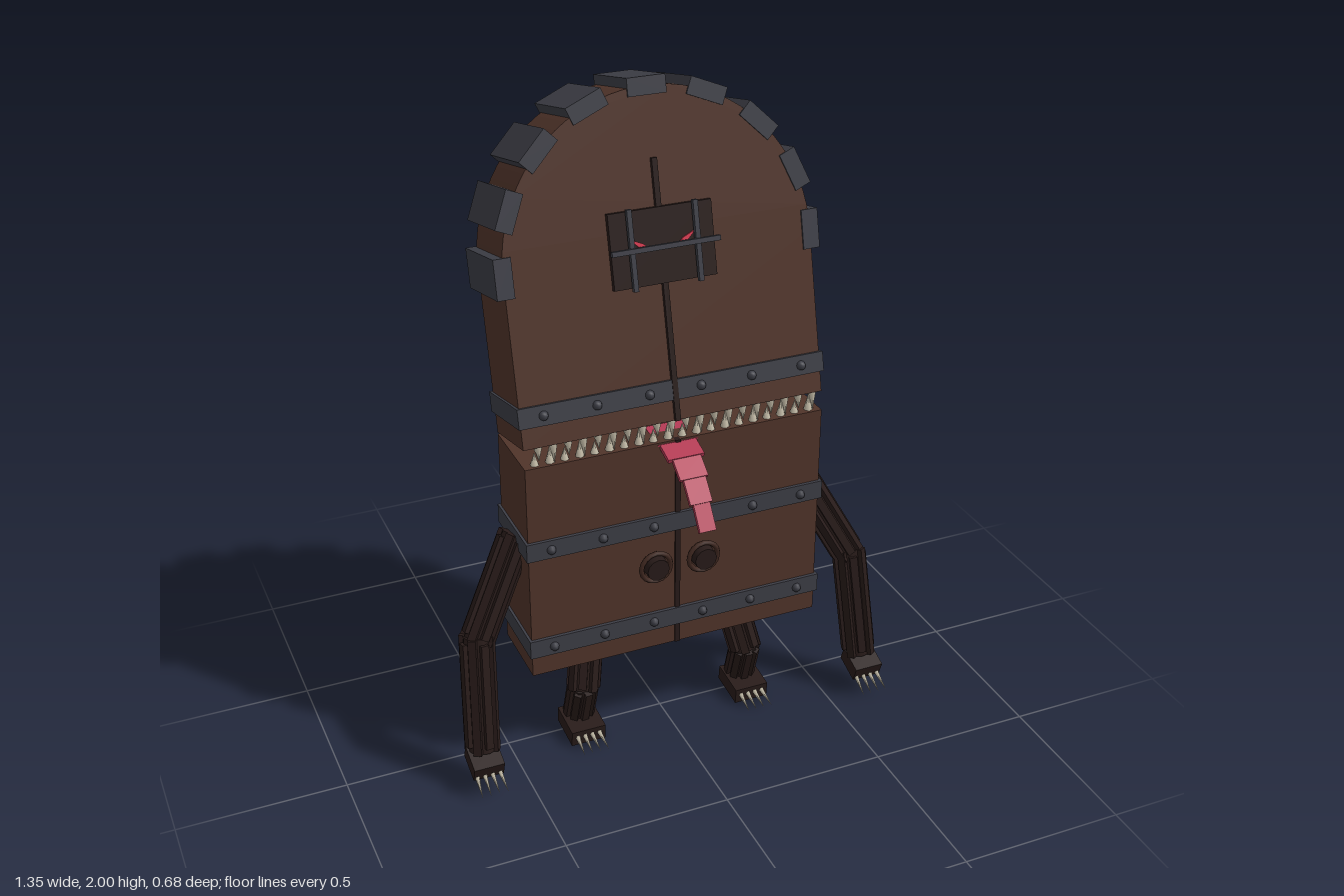
import * as THREE from 'three';

const mat = (name, color) => {
  const m = new THREE.MeshStandardMaterial({ color });
  m.name = name;
  return m;
};

export function createModel() {
  const wood = mat('brown wood', 0x50342a);
  const bark = mat('dark wood', 0x281b19);
  const iron = mat('iron', 0x3d3e46);
  const knobWood = mat('knob wood', 0x402820);
  const red = mat('tongue red', 0xb43a54);
  const eyeRed = mat('eye red', 0xd63a50);
  const bone = mat('bone', 0xc4bca8);
  const root = new THREE.Group();
  root.name = 'doorCreature';

  const add = (parent, name, geo, m, x = 0, y = 0, z = 0) => {
    const mesh = new THREE.Mesh(geo, m);
    mesh.name = name;
    mesh.position.set(x, y, z);
    parent.add(mesh);
    return mesh;
  };
  const box = (parent, name, m, w, h, d, x, y, z) =>
    add(parent, name, new THREE.BoxGeometry(w, h, d), m, x, y, z);
  const group = (parent, name) => {
    const g = new THREE.Group();
    g.name = name;
    parent.add(g);
    return g;
  };
  const V = (x, y, z) => new THREE.Vector3(x, y, z);
  // places an object between two points, its own y axis along the line
  const span = (obj, a, b) => {
    obj.position.copy(a).add(b).multiplyScalar(0.5);
    obj.quaternion.setFromUnitVectors(V(0, 1, 0), b.clone().sub(a).normalize());
  };

  // iron strap with rivets, wrapped round the door
  const strap = (parent, y, z) => {
    const g = group(parent, 'ironStrap');
    box(g, 'band', iron, 0.925, 0.058, 0.25, 0, y, z);
    for (let i = 0; i < 6; i++)
      add(g, 'rivet', new THREE.SphereGeometry(0.014, 8, 6), iron, -0.39 + i * 0.156, y, z + 0.127);
  };

  // row of conical teeth
  const teeth = (parent, name, y, z, dir, count, shift) => {
    const g = group(parent, name);
    for (let i = 0; i < count; i++) {
      const h = 0.045 + 0.012 * (i % 2);
      const x = -0.42 + shift + (i * 0.84) / (count - 1);
      const t = add(g, 'tooth', new THREE.ConeGeometry(0.014, h, 6), bone, x, y + dir * h * 0.5, z);
      if (dir < 0) t.rotation.x = Math.PI;
    }
  };

  // lower door
  const lower = group(root, 'lowerDoor');
  box(lower, 'lowerPanel', wood, 0.91, 0.685, 0.23, 0, 0.6725, 0.015);
  box(lower, 'lowerSeam', bark, 0.016, 0.685, 0.02, 0, 0.6725, 0.125);
  strap(lower, 0.425, 0.015);
  strap(lower, 0.752, 0.015);
  teeth(lower, 'lowerTeeth', 1.01, 0.11, 1, 20, 0);

  // door knobs with rings
  for (const s of [-1, 1]) {
    const g = group(lower, 'knob');
    g.position.set(s * 0.075, 0.62, 0.15);
    add(g, 'knobRing', new THREE.TorusGeometry(0.046, 0.008, 6, 16), knobWood);
    const disc = add(g, 'knobDisc', new THREE.CylinderGeometry(0.034, 0.036, 0.04, 12), bark);
    disc.rotation.x = Math.PI / 2;
  }

  // upper door, hinged at the back and leaning away
  const upper = group(root, 'upperDoor');
  upper.position.set(0, 1.02, -0.1);
  upper.rotation.x = -0.235;
  const R = 0.455, CY = 0.475;
  const arch = new THREE.Shape();
  arch.moveTo(-R, 0);
  arch.lineTo(R, 0);
  arch.lineTo(R, CY);
  arch.absarc(0, CY, R, 0, Math.PI, false);
  arch.lineTo(-R, 0);
  add(upper, 'archPanel', new THREE.ExtrudeGeometry(arch, { depth: 0.23, bevelEnabled: false, curveSegments: 20 }), wood);
  box(upper, 'upperSeam', bark, 0.016, 0.737, 0.02, 0, 0.3685, 0.232);
  strap(upper, 0.09, 0.115);
  teeth(upper, 'upperTeeth', 0, 0.21, -1, 20, 0.012);
  for (let i = 0; i < 9; i++) {
    const a = (i * Math.PI) / 8;
    const stone = box(upper, 'archStone', iron, 0.05, 0.112, 0.25,
      Math.cos(a) * 0.454, CY + Math.sin(a) * 0.454, 0.11);
    stone.rotation.z = a;
  }

  // barred window with glaring eyes
  const win = group(upper, 'window');
  win.position.set(0, 0.5, 0.24);
  box(win, 'windowPlate', bark, 0.305, 0.21, 0.016, 0, 0, 0);
  for (const s of [-1, 1]) {
    const eye = new THREE.Shape([[0.035, -0.012], [0.06, -0.012], [0.1, 0.026], [0.06, 0.008]]
      .map(([x, y]) => new THREE.Vector2(s * x, y)));
    add(win, 'eye', new THREE.ExtrudeGeometry(eye, { depth: 0.005, bevelEnabled: false }), eyeRed, 0, 0.005, 0.008);
    box(win, 'verticalBar', iron, 0.014, 0.225, 0.014, s * 0.097, 0, 0.022);
  }
  box(win, 'crossBar', iron, 0.32, 0.014, 0.014, 0, 0, 0.03);

  // tongue of tapering slabs curling down
  const tongue = group(root, 'tongue');
  const path = [V(0, 1.012, 0.03), V(0, 1.003, 0.13), V(0, 0.985, 0.19), V(0, 0.947, 0.243), V(0, 0.893, 0.292), V(0, 0.828, 0.338)];
  const widths = [0.12, 0.11, 0.085, 0.067, 0.05];
  widths.forEach((w, i) => {
    const len = path[i].distanceTo(path[i + 1]);
    span(box(tongue, 'tongueSlab', red, w, len, 0.013, 0, 0, 0), path[i], path[i + 1]);
  });

  // limb segment: a core wrapped in rough planks
  const branch = (parent, name, a, b, r) => {
    const g = group(parent, name);
    const len = a.distanceTo(b);
    add(g, 'core', new THREE.CylinderGeometry(r * 0.85, r * 0.85, len, 8), bark);
    for (let i = 0; i < 8; i++) {
      const t = (i * Math.PI) / 4;
      const p = box(g, 'plank', bark, r * 0.48, len * (i % 2 ? 0.9 : 1), r * 0.4,
        Math.sin(t) * r * 0.82, 0, Math.cos(t) * r * 0.82);
      p.rotation.y = t;
    }
    span(g, a, b);
  };
  const claws = (parent, x, y, z, dy, dz) => {
    for (let i = 0; i < 4; i++) {
      const cx = x + (i - 1.5) * 0.023;
      const c = add(parent, 'claw', new THREE.ConeGeometry(0.008, Math.hypot(dy, dz), 5), bone);
      span(c, V(cx, y, z), V(cx + (i - 1.5) * 0.003, y + dy, z + dz));
    }
  };

  for (const s of [-1, 1]) {
    const side = s > 0 ? 'left' : 'right';
    // arm
    const arm = group(root, side + 'Arm');
    const elbow = V(s * 0.602, 0.46, 0.075);
    branch(arm, 'upperArm', V(s * 0.45, 0.745, 0.01), elbow, 0.05);
    branch(arm, 'forearm', elbow.clone().setY(0.48), V(s * 0.622, 0.125, 0.14), 0.05);
    const hand = box(arm, 'hand', bark, 0.092, 0.05, 0.09, s * 0.624, 0.1, 0.16);
    hand.rotation.x = 0.35;
    claws(arm, s * 0.624, 0.075, 0.19, -0.035, 0.065);

    // leg
    const leg = group(root, side + 'Leg');
    const knee = V(s * 0.27, 0.175, 0.045);
    branch(leg, 'thigh', V(s * 0.235, 0.35, -0.005), knee, 0.05);
    branch(leg, 'shin', knee.clone().setY(0.19), V(s * 0.272, 0.045, -0.002), 0.046);
    const foot = box(leg, 'foot', bark, 0.108, 0.05, 0.125, s * 0.273, 0.037, 0.03);
    foot.rotation.x = 0.1;
    claws(leg, s * 0.273, 0.035, 0.09, -0.018, 0.07);
  }

  // hip beam under the door
  const hips = group(root, 'hips');
  box(hips, 'hipBeam', bark, 0.32, 0.022, 0.1, 0, 0.322, 0);
  box(hips, 'hipSlat', bark, 0.2, 0.02, 0.06, 0, 0.31, 0);

  return root;
}
